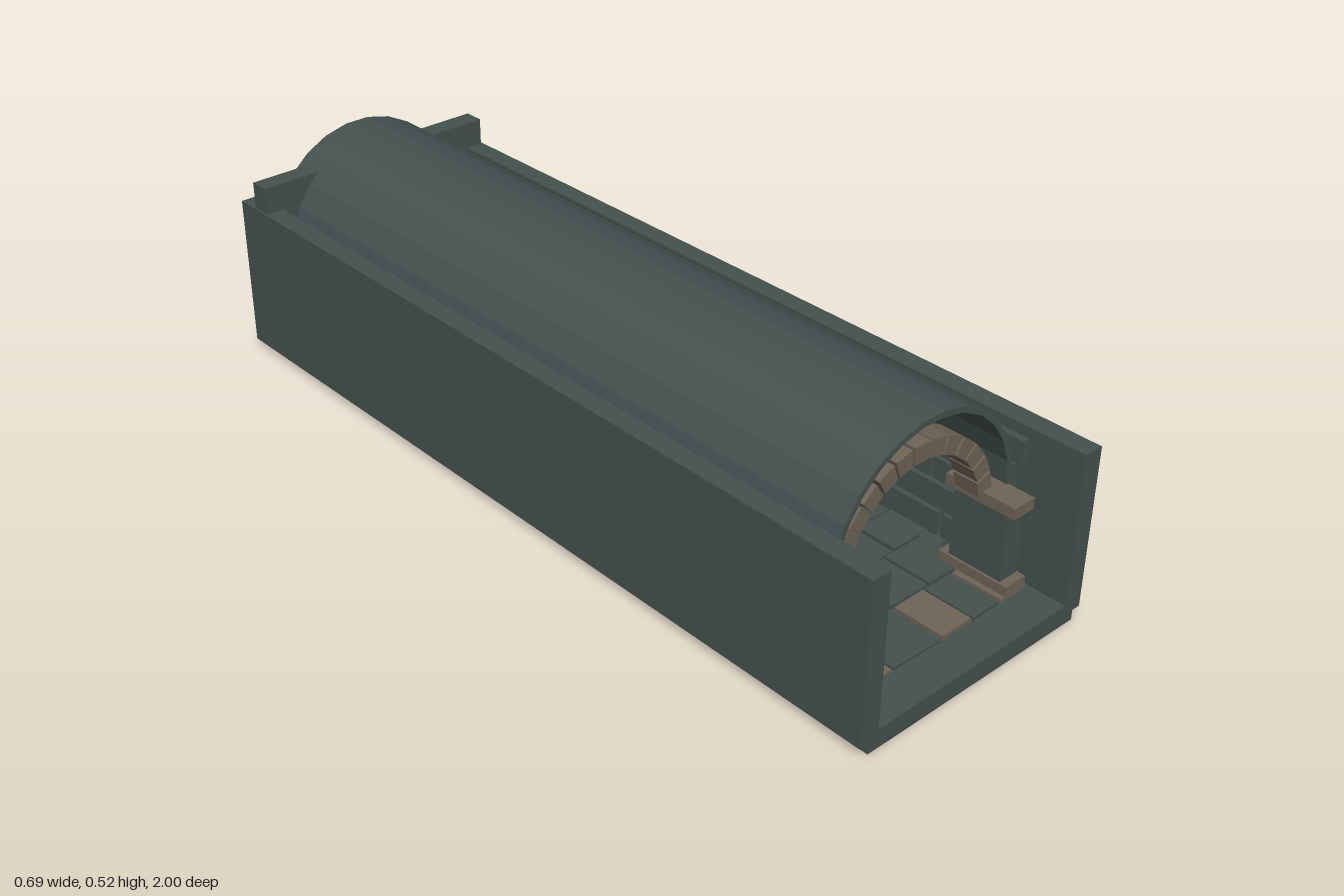
import * as THREE from 'three';

const CX = -0.029; // corridor axis

export function createModel() {
  const root = new THREE.Group();
  root.name = 'vaultedCorridor';
  const stone = new THREE.MeshStandardMaterial({ name: 'slate stone', color: 0x43514f, flatShading: true });
  const brown = new THREE.MeshStandardMaterial({ name: 'brown stone', color: 0x6e6356, flatShading: true });

  let seed = 11;
  const rnd = () => (seed = (seed * 16807) % 2147483647) / 2147483647;
  const group = (name, parent = root) => {
    const g = new THREE.Group();
    g.name = name;
    parent.add(g);
    return g;
  };
  const add = (name, geo, mat, parent = root) => {
    const m = new THREE.Mesh(geo, mat);
    m.name = name;
    parent.add(m);
    return m;
  };
  // box given by its limits on each axis
  const box = (name, x0, x1, y0, y1, z0, z1, mat = stone, parent = root) => {
    const m = add(name, new THREE.BoxGeometry(x1 - x0, y1 - y0, z1 - z0), mat, parent);
    m.position.set((x0 + x1) / 2, (y0 + y1) / 2, (z0 + z1) / 2);
    return m;
  };
  // ring sector in the xy plane, extruded along z
  const sector = (cy, r0, r1, a0, a1, n, z0, z1) => {
    const pts = [];
    for (let i = 0; i <= n; i++) {
      const a = a0 + (a1 - a0) * i / n;
      pts.push(new THREE.Vector2(CX + r1 * Math.cos(a), cy + r1 * Math.sin(a)));
    }
    for (let i = n; i >= 0; i--) {
      const a = a0 + (a1 - a0) * i / n;
      pts.push(new THREE.Vector2(CX + r0 * Math.cos(a), cy + r0 * Math.sin(a)));
    }
    const g = new THREE.ExtrudeGeometry(new THREE.Shape(pts), { depth: z1 - z0, bevelEnabled: false });
    return g.translate(0, 0, z0);
  };

  // shell: floor, side walls, end wall and barrel vault
  box('floorBase', -0.325, 0.267, 0, 0.045, -1, 1);
  box('rightWall', -0.346, -0.299, 0.023, 0.395, -1, 1);
  box('leftWall', 0.241, 0.288, 0.023, 0.395, -1, 1);
  box('endWall', -0.342, 0.284, 0.03, 0.46, -0.945, -0.895);
  add('vault', sector(0.268, 0.242, 0.255, 0, Math.PI, 13, -0.97, 0.85), stone);

  // projecting courses of wall stones
  const courses = [[0.05, 0.109], [0.119, 0.174], [0.184, 0.234], [0.243, 0.306], [0.315, 0.37]];
  for (const side of [-1, 1]) {
    const g = group(side < 0 ? 'rightWallStones' : 'leftWallStones');
    courses.forEach(([y0, y1], row) => {
      let z = 0.88 - (row % 2) * 0.02;
      for (let i = 0; z > -0.9; i++) {
        const len = i === 0 && row % 2 ? 0.1 : 0.16 + rnd() * 0.06;
        const end = Math.max(z - len, -0.96);
        const t = 0.014 + rnd() * 0.004;
        const forced = (side > 0 && row === 1 && i === 0) || (side < 0 && row === 4 && i === 1);
        const mat = forced || (i > 1 && rnd() < 0.14) ? brown : stone;
        const wall = side < 0 ? -0.3 : 0.242;
        box('wallStone', side < 0 ? wall : wall - t, side < 0 ? wall + t : wall, y0, y1, end, z - 0.01, mat, g);
        z = end;
      }
    });
  }

  // uneven paving slabs
  const paving = group('paving');
  for (let z = 0.91; z > -0.85;) {
    const depth = 0.09 + rnd() * 0.04;
    let x = -0.292;
    while (x < 0.2) {
      const x1 = Math.min(x + 0.08 + rnd() * 0.09, 0.236);
      const mat = (z > 0.9 && x < -0.29) || rnd() < 0.17 ? brown : stone;
      const s = box('slab', x, x1 - 0.007, 0.043, 0.051 + rnd() * 0.005, z - depth + 0.007, z, mat, paving);
      s.rotation.y = (rnd() - 0.5) * 0.06;
      x = x1;
    }
    z -= depth;
  }
  // slabs running out under the wall
  for (const [x1, z0, z1, mat] of [
    [0.342, -0.21, -0.13, brown], [0.316, 0.22, 0.285, stone],
    [0.291, 0.39, 0.49, brown], [0.291, 0.63, 0.71, stone]]) {
    box('longSlab', 0.2, x1, 0.042, 0.054, z0, z1, mat, paving);
  }

  // entrance arch on pillars
  const arch = group('entranceArch');
  for (let i = 0; i < 13; i++) {
    const step = (Math.PI - 0.24) / 13;
    const a = 0.12 + i * step;
    add('archStone', sector(0.228, 0.186, 0.225, a + 0.015, a + step - 0.015, 1, 0.77, 0.83), brown, arch);
  }
  for (const s of [-1, 1]) {
    const p = group('pillar', arch);
    const part = (name, inner, outer, y0, y1, z0, z1, mat) =>
      box(name, Math.min(CX + s * inner, CX + s * outer), Math.max(CX + s * inner, CX + s * outer), y0, y1, z0, z1, mat, p);
    part('base', 0.194, 0.254, 0.05, 0.077, 0.74, 0.91, brown);
    part('shaft', 0.2, 0.25, 0.077, 0.236, 0.76, 0.89, stone);
    part('capital', 0.194, 0.254, 0.236, 0.262, 0.74, 0.91, brown);
  }

  // barred gate between posts
  const gate = group('gate');
  const GZ = -0.1;
  box('rightPost', -0.23, -0.203, 0.05, 0.222, GZ - 0.06, GZ + 0.06, stone, gate);
  box('leftPost', 0.145, 0.172, 0.05, 0.222, GZ - 0.06, GZ + 0.06, stone, gate);
  const panel = (name, x0, x1, top, bars, z) => {
    const g = group(name, gate);
    for (const y of [0.066, 0.127, 0.187, top - 0.004]) box('rail', x0, x1, y - 0.004, y + 0.004, z - 0.006, z + 0.006, stone, g);
    for (let i = 0; i < bars; i++) {
      const b = add('bar', new THREE.CylinderGeometry(0.0042, 0.0042, top - 0.053, 6), stone, g);
      b.position.set(x0 + 0.006 + (x1 - x0 - 0.012) * i / (bars - 1), (top + 0.053) / 2, z);
    }
  };
  panel('fixedGrille', -0.203, -0.1, 0.222, 8, GZ);
  panel('doorGrille', -0.105, 0.052, 0.245, 12, GZ + 0.02);

  // barrel behind the bars
  const barrel = group('barrel');
  barrel.position.set(-0.132, 0.052, GZ - 0.15);
  const profile = [[0, 0], [0.021, 0], [0.026, 0.034], [0.021, 0.068], [0, 0.068]].map(p => new THREE.Vector2(...p));
  add('staves', new THREE.LatheGeometry(profile, 10), brown, barrel);
  for (const y of [0.014, 0.054]) {
    add('hoop', new THREE.CylinderGeometry(0.0262, 0.0262, 0.006, 10), stone, barrel).position.y = y;
  }

  // slatted crate
  const crate = group('crate');
  for (let i = 0; i < 4; i++) {
    box('slat', 0.099, 0.144, 0.055 + i * 0.0135, 0.067 + i * 0.0135, GZ - 0.17, GZ - 0.12, brown, crate);
  }

  // loose rubble
  const rubble = group('rubble');
  for (let i = 0; i < 9; i++) {
    const r = add('rock', new THREE.DodecahedronGeometry(0.008 + rnd() * 0.008), stone, rubble);
    r.position.set(0.06 + rnd() * 0.08, 0.055, 0.1 + rnd() * 0.4);
    r.scale.y = 0.6;
    r.rotation.y = rnd() * 3;
  }
  return root;
}
